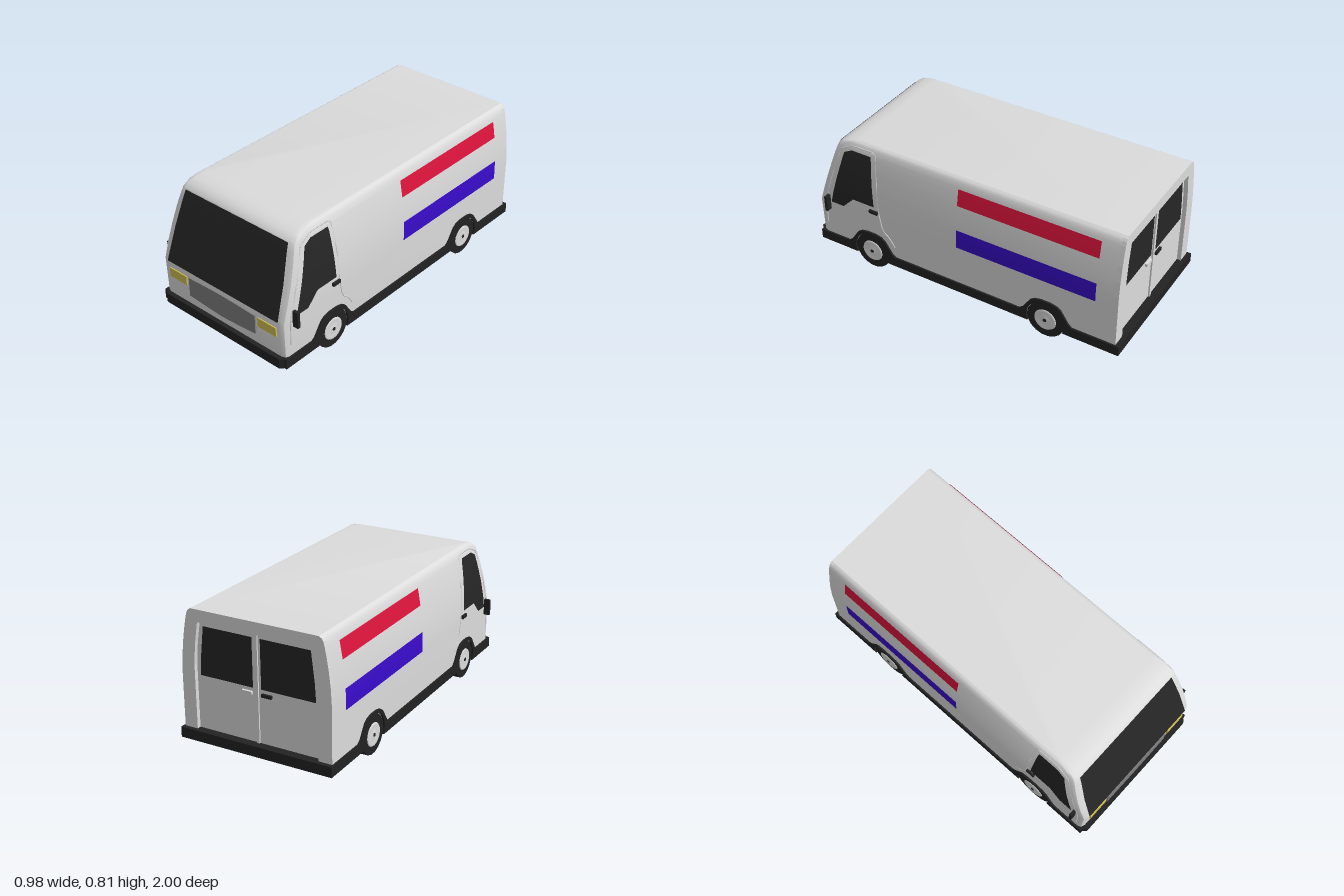
import * as THREE from 'three';
import { toCreasedNormals } from 'three/addons/utils/BufferGeometryUtils.js';

const paint = (name, color, side = THREE.DoubleSide) => {
  const m = new THREE.MeshStandardMaterial({ color, side });
  m.name = name;
  return m;
};

// Body levels: height, half width, front z
const LEVELS = [
  [0.11, 0.455, 0.972], [0.35, 0.455, 0.98], [0.45, 0.455, 0.948], [0.55, 0.449, 0.915],
  [0.65, 0.437, 0.883], [0.72, 0.425, 0.86], [0.765, 0.416, 0.843], [0.79, 0.409, 0.815],
  [0.805, 0.4, 0.775], [0.815, 0.385, 0.71],
];
const BACK = -0.95, BEVEL = 0.03;
const WHEEL_Z = [-0.55, 0.61], WHEEL_Y = 0.115, WHEEL_R = 0.115;

function at(y, k) {
  const i = Math.max(1, LEVELS.findIndex((l) => l[0] >= y));
  const a = LEVELS[i - 1], b = LEVELS[i];
  return a[k] + ((b[k] - a[k]) * (y - a[0])) / (b[0] - a[0]);
}

// Shell lofted from one plan outline per level
function bodyGeometry() {
  const pos = [], idx = [];
  for (const [y, w, f] of LEVELS) {
    const half = [[w, BACK], [w, f - BEVEL], [w - 0.008, f - 0.009], [w - BEVEL, f]];
    const loop = [...half, ...half.slice().reverse().map(([x, z]) => [-x, z])];
    for (const [x, z] of loop) pos.push(x, y, z);
  }
  const n = 8, top = (LEVELS.length - 1) * n;
  for (let j = 0; j < LEVELS.length - 1; j++) {
    for (let i = 0; i < n; i++) {
      const a = j * n + i, b = j * n + ((i + 1) % n);
      idx.push(a, a + n, b + n, a, b + n, b);
    }
  }
  for (let i = 1; i < n - 1; i++) idx.push(top, top + i + 1, top + i);
  const g = new THREE.BufferGeometry();
  g.setAttribute('position', new THREE.Float32BufferAttribute(pos, 3));
  g.setIndex(idx);
  return toCreasedNormals(g, 0.5);
}

// Thin skin panel: rows of [height, start, end], placed on a surface by a rule
function panelGeometry(rows, place) {
  const pos = [], idx = [], steps = 5;
  const add = (y, a, b) => pos.push(...place(a, y), ...place(b, y));
  rows.slice(1).forEach((r, k) => {
    const p = rows[k];
    for (let i = k ? 1 : 0; i <= steps; i++) {
      add(...p.map((v, c) => v + ((r[c] - v) * i) / steps));
    }
  });
  for (let i = 0; i < pos.length / 6 - 1; i++) {
    const a = i * 2;
    idx.push(a, a + 1, a + 3, a, a + 3, a + 2);
  }
  const g = new THREE.BufferGeometry();
  g.setAttribute('position', new THREE.Float32BufferAttribute(pos, 3));
  g.setIndex(idx);
  g.computeVertexNormals();
  return g;
}
const onSide = (s, lift = 0.004) => (z, y) => [s * (at(y, 1) + lift), y, z];
const onFront = (x, y) => [x, y, at(y, 2) + 0.004];
const flip = (rows) => rows.map(([y, a, b]) => [y, -b, -a]);

// Lower trim outline with wheel arches
function skirtShape() {
  const s = new THREE.Shape(), r = 0.117, phi = Math.asin((WHEEL_Y - 0.07) / r);
  s.moveTo(-1, 0.07);
  for (const c of WHEEL_Z) {
    s.lineTo(c - r * Math.cos(phi), 0.07);
    s.absarc(c, WHEEL_Y, r, Math.PI + phi, -phi, true);
  }
  s.lineTo(0.98, 0.07);
  s.lineTo(0.98, 0.13);
  const arch = [[0.165, 0.13], [0.145, 0.145], [0.095, 0.22], [0.07, 0.238], [0.03, 0.247]];
  for (const c of [...WHEEL_Z].reverse()) {
    for (const [d, y] of arch) s.lineTo(c + d, y);
    for (const [d, y] of [...arch].reverse()) s.lineTo(c - d, y);
  }
  s.lineTo(-1, 0.13);
  return s;
}

const poly = (pts) => new THREE.Shape(pts.map(([x, y]) => new THREE.Vector2(x, y)));
const extrude = (shape, depth) =>
  new THREE.ExtrudeGeometry(shape, { depth, bevelEnabled: false, curveSegments: 16 });

export function createModel() {
  const van = new THREE.Group();
  van.name = 'van';
  const white = paint('whitePaint', 0xdcdcdc);
  const black = paint('blackTrim', 0x222222);
  const glass = paint('darkGlass', 0x262626);
  const grey = paint('grilleGrey', 0x808080);
  const yellow = paint('lampYellow', 0xd2c250);
  const red = paint('stripeRed', 0xdc143c);
  const blue = paint('stripeBlue', 0x3a0ccc);

  const add = (name, geo, mat, x = 0, y = 0, z = 0, parent = van) => {
    const m = new THREE.Mesh(geo, mat);
    m.name = name;
    m.position.set(x, y, z);
    parent.add(m);
    return m;
  };
  const box = (name, w, h, d, mat, x, y, z) => add(name, new THREE.BoxGeometry(w, h, d), mat, x, y, z);

  add('body', bodyGeometry(), white);

  // Floor and bumpers in one slab with clipped front corners
  const floor = extrude(poly([[-0.45, -1], [0.45, -1], [0.45, 0.98], [0.43, 1], [-0.43, 1], [-0.45, 0.98]]), 0.06);
  floor.rotateX(Math.PI / 2);
  add('floorAndBumpers', floor, black, 0, 0.13, 0);

  // Front end
  add('windscreen', panelGeometry([[0.352, -0.415, 0.415], [0.55, -0.402, 0.402], [0.762, -0.375, 0.375]], onFront), glass);
  add('grille', extrude(poly([[-0.25, 0.195], [-0.12, 0.185], [0, 0.178], [0.12, 0.185], [0.25, 0.195],
    [0.25, 0.312], [0.12, 0.318], [0, 0.321], [-0.12, 0.318], [-0.25, 0.312]]), 0.009), grey, 0, 0, 0.976);

  // Rear frame around the recessed doors
  const edge = [[0.45, 0.11], ...LEVELS.map(([y, w]) => [w, y])].slice(1);
  const mirrored = (pts) => [...pts, ...pts.slice().reverse().map(([x, y]) => [-x, y])];
  const frame = poly(mirrored(edge));
  frame.holes.push(poly(mirrored([[0.375, 0.125], [0.375, 0.5], [0.365, 0.62], [0.345, 0.745]])));
  add('rearFrame', extrude(frame, 0.026), white, 0, 0, -0.975);
  box('rearDoorPost', 0.018, 0.62, 0.012, white, 0, 0.435, -0.953);
  box('rearHandleLeft', 0.06, 0.018, 0.016, white, 0.06, 0.41, -0.956);
  box('rearHandleRight', 0.06, 0.018, 0.016, black, -0.06, 0.41, -0.956);

  const skirt = extrude(skirtShape(), 0.026);
  skirt.rotateY(-Math.PI / 2);
  const tyre = new THREE.CylinderGeometry(WHEEL_R, WHEEL_R, 0.068, 18);
  const hub = new THREE.LatheGeometry([[0.068, 0], [0.064, 0.006], [0.05, 0.003], [0.025, 0.003], [0.018, 0.006], [0, 0.006]]
    .map(([r, h]) => new THREE.Vector2(r, h)), 20);
  const cap = new THREE.CylinderGeometry(0.011, 0.011, 0.006, 8);
  const sideWindow = [[0.365, 0.8, 0.887], [0.44, 0.726, 0.868], [0.44, 0.58, 0.868], [0.73, 0.6, 0.785], [0.755, 0.605, 0.735]];
  const rearWindow = [[0.44, 0.025, 0.352], [0.55, 0.025, 0.345], [0.72, 0.025, 0.325]];
  const seam = [[0.93, 0.2], [0.93, 0.36], [0.88, 0.53], [0.81, 0.745], [0.73, 0.782], [0.575, 0.782],
    [0.56, 0.6], [0.55, 0.4], [0.53, 0.29], [0.48, 0.25], [0.45, 0.2]];

  // Everything paired left and right
  for (const s of [1, -1]) {
    const side = s > 0 ? 'Left' : 'Right';
    add('skirt' + side, skirt, black, s > 0 ? 0.466 : -0.44);
    add('cabWindow' + side, panelGeometry(sideWindow, onSide(s)), glass);
    add('redStripe' + side, panelGeometry([[0.655, -0.845, 0.02], [0.755, -0.845, 0.02]], onSide(s, 0.006)), red);
    add('blueStripe' + side, panelGeometry([[0.382, -0.845, 0.02], [0.5, -0.845, 0.02]], onSide(s, 0.006)), blue);
    add('rearWindow' + side, panelGeometry(s > 0 ? rearWindow : flip(rearWindow), (x, y) => [x, y, BACK - 0.004]), glass);
    box('headlight' + side, 0.132, 0.056, 0.01, yellow, s * 0.335, 0.283, 0.98);
    box('mirror' + side, 0.036, 0.098, 0.018, black, s * 0.473, 0.36, 0.905);
    box('doorHandle' + side, 0.016, 0.02, 0.055, black, s * 0.46, 0.405, 0.583);

    // Cab door outline
    const path = new THREE.CurvePath();
    const pts = seam.map(([z, y]) => new THREE.Vector3(...onSide(s, 0)(z, y)));
    for (let i = 1; i < pts.length; i++) path.add(new THREE.LineCurve3(pts[i - 1], pts[i]));
    add('doorSeam' + side, new THREE.TubeGeometry(path, 40, 0.004, 5), white);

    WHEEL_Z.forEach((z, i) => {
      const wheel = new THREE.Group();
      wheel.name = (i ? 'front' : 'rear') + 'Wheel' + side;
      wheel.position.set(s * 0.424, WHEEL_Y, z);
      wheel.rotation.z = (-s * Math.PI) / 2;
      add('tyre', tyre, black, 0, 0, 0, wheel);
      add('hub', hub, white, 0, 0.035, 0, wheel);
      add('hubCap', cap, black, 0, 0.041, 0, wheel);
      van.add(wheel);
    });
  }
  return van;
}
